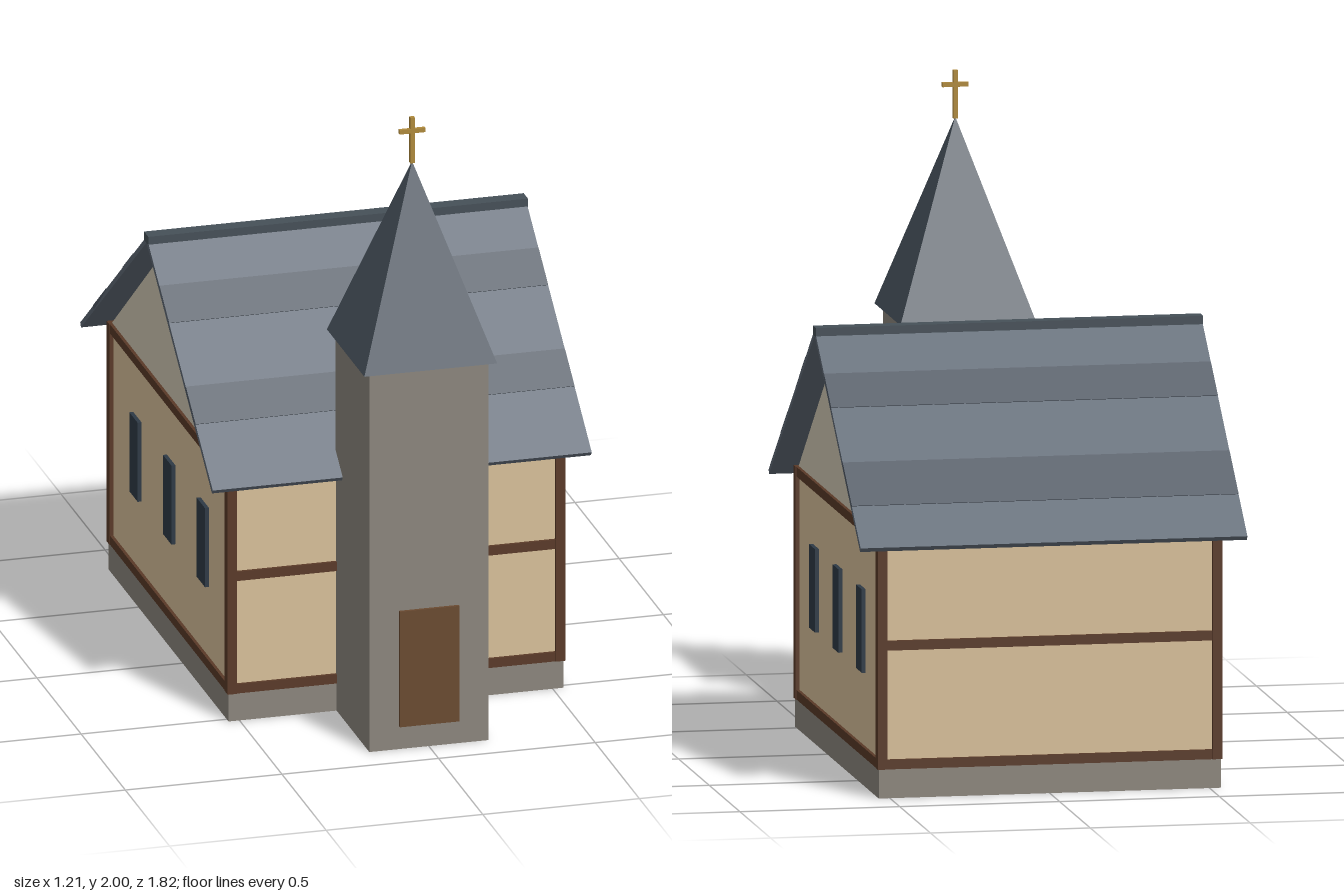
import * as THREE from 'three';

const mat = (color) => new THREE.MeshStandardMaterial({ color, flatShading: true });
const M = {
  stone: mat(0x8c867d), wall: mat(0xd8c09a), gable: mat(0xd2c9b4), timber: mat(0x5a3a28),
  roof: mat(0x5f6975), band: mat(0x4f5863), ridge: mat(0x465058), spire: mat(0x4d5863),
  door: mat(0x6a4a30), window: mat(0x2e3a46), cross: mat(0xb08a3c),
};
const MID = -0.16; // z of the nave's centre and ridge

export function createModel() {
  const model = new THREE.Group();
  model.name = 'church';

  const add = (name, geometry, material, x = 0, y = 0, z = 0, parent = model) => {
    const mesh = new THREE.Mesh(geometry, material);
    mesh.name = name;
    mesh.position.set(x, y, z);
    parent.add(mesh);
    return mesh;
  };
  // box given by its ranges on each axis
  const box = (name, material, [x0, x1], [y0, y1], [z0, z1], parent = model) =>
    add(name, new THREE.BoxGeometry(x1 - x0, y1 - y0, z1 - z0), material,
      (x0 + x1) / 2, (y0 + y1) / 2, (z0 + z1) / 2, parent);

  // nave
  box('foundation', M.stone, [-0.535, 0.535], [0, 0.09], [MID - 0.68, MID + 0.68]);
  box('naveWalls', M.wall, [-0.527, 0.527], [0.09, 0.812], [MID - 0.672, MID + 0.672]);

  // timber frame: corner posts, sill and top beams all round, middle rail front and back
  for (const sx of [-1, 1]) {
    for (const sz of [-1, 1]) {
      add('cornerPost', new THREE.BoxGeometry(0.03, 0.725, 0.034), M.timber,
        sx * 0.524, 0.4525, MID + sz * 0.668);
    }
    for (const y of [0.105, 0.8]) {
      add('sideBeam', new THREE.BoxGeometry(0.026, 0.03, 1.31), M.timber, sx * 0.524, y, MID);
    }
  }
  for (const sz of [-1, 1]) {
    for (const y of [0.105, 0.475, 0.8]) {
      add('endBeam', new THREE.BoxGeometry(1.03, 0.03, 0.026), M.timber, 0, y, MID + sz * 0.669);
    }
  }

  // side windows
  for (const sx of [-1, 1]) {
    for (const z of [0.223, -0.158, -0.539]) {
      add('window', new THREE.BoxGeometry(0.025, 0.26, 0.095), M.window, sx * 0.527, 0.48, z);
    }
  }

  // gable prism, extruded across the nave
  const triangle = new THREE.Shape([
    new THREE.Vector2(-0.67, 0.812), new THREE.Vector2(0.67, 0.812), new THREE.Vector2(0, 1.325),
  ]);
  const gable = new THREE.ExtrudeGeometry(triangle, { depth: 1.054, bevelEnabled: false });
  gable.translate(0, 0, -0.527).rotateY(Math.PI / 2);
  add('gable', gable, M.gable, 0, 0, MID);

  // two roof slopes with darker courses; ranges are horizontal distances from the ridge
  const pitch = Math.atan2(0.557, 0.747);
  const along = 1 / Math.cos(pitch);
  const slopes = [
    { name: 'frontRoof', turn: 0, courses: [[0.146, 0.256], [0.444, 0.555]] },
    { name: 'backRoof', turn: Math.PI, courses: [[0.153, 0.269], [0.457, 0.606]] },
  ];
  for (const { name, turn, courses } of slopes) {
    const side = new THREE.Group();
    side.name = name;
    side.position.set(0, 1.352, MID);
    side.rotation.y = turn;
    const slope = new THREE.Group();
    slope.rotation.x = pitch;
    side.add(slope);
    model.add(side);
    box('roofSlab', M.roof, [-0.605, 0.605], [-0.016, 0], [0, 0.75 * along], slope);
    for (const [a, b] of courses) {
      box('roofCourse', M.band, [-0.605, 0.605], [-0.012, 0.002], [a * along, b * along], slope);
    }
  }
  box('ridgeCap', M.ridge, [-0.606, 0.606], [1.332, 1.36], [MID - 0.024, MID + 0.024]);

  // tower with spire, door and cross
  const tower = new THREE.Group();
  tower.name = 'tower';
  tower.position.z = 0.7;
  model.add(tower);
  box('towerWalls', M.stone, [-0.19, 0.19], [0, 1.245], [-0.19, 0.19], tower);
  const spire = new THREE.ConeGeometry(0.212 * Math.SQRT2, 0.61, 4).rotateY(Math.PI / 4);
  add('spire', spire, M.spire, 0, 1.55, 0, tower);
  box('door', M.door, [-0.095, 0.095], [0.075, 0.455], [0.18, 0.2], tower);
  box('crossUpright', M.cross, [-0.007, 0.007], [1.85, 2], [-0.007, 0.007], tower);
  box('crossArm', M.cross, [-0.041, 0.041], [1.948, 1.962], [-0.006, 0.006], tower);

  return model;
}
